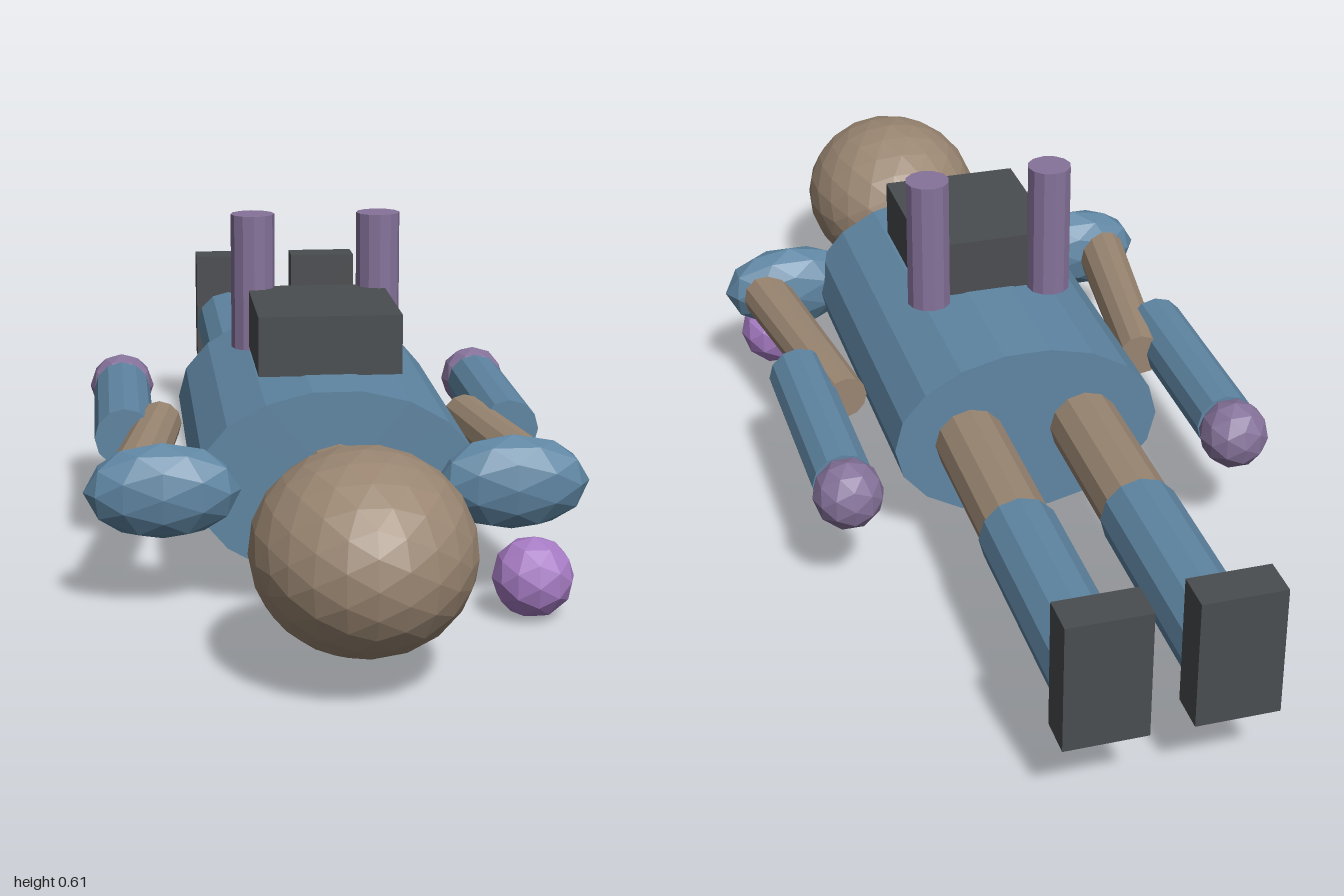
import * as THREE from 'three';

const mat = (color) => new THREE.MeshStandardMaterial({ color, flatShading: true });

export function createModel() {
  const model = new THREE.Group();
  const skin = mat(0x9a8672), suit = mat(0x5f86a3), dark = mat(0x4a4d50);
  const violet = mat(0x85729a), orchid = mat(0xa77cc4);
  const midY = 0.215; // height of the body axis

  function add(name, geometry, material, x, y, z) {
    const mesh = new THREE.Mesh(geometry, material);
    mesh.name = name;
    mesh.position.set(x, y, z);
    model.add(mesh);
    return mesh;
  }
  const box = (name, material, w, h, d, x, y, z) =>
    add(name, new THREE.BoxGeometry(w, h, d), material, x, y, z);
  // Faceted ellipsoid
  const blob = (name, material, rx, ry, rz, x, y, z, detail = 1) =>
    add(name, new THREE.IcosahedronGeometry(1, detail).scale(rx, ry, rz), material, x, y, z);
  // Cylinder lying along z, from z0 (radius r0) to z1 (radius r1)
  const rod = (name, material, r0, r1, z0, z1, x, sides = 12) =>
    add(name, new THREE.CylinderGeometry(r1, r0, z1 - z0, sides).rotateX(Math.PI / 2),
      material, x, midY, (z0 + z1) / 2);

  // Head, neck and oval torso
  blob('head', skin, 0.178, 0.161, 0.203, 0, midY, 0.797, 3);
  rod('neck', skin, 0.077, 0.077, 0.45, 0.582, 0);
  const torso = new THREE.CylinderGeometry(1, 1, 0.663, 18)
    .rotateY(Math.PI / 18).rotateX(Math.PI / 2).scale(0.245, 0.165, 1);
  add('torso', torso, suit, 0, midY, 0.102);

  // Pack above the torso, plate and ball below
  box('pack', dark, 0.25, 0.105, 0.284, 0, 0.428, 0.162);
  box('plate', violet, 0.16, 0.021, 0.14, 0, 0.024, 0.22);
  blob('ball', orchid, 0.07, 0.07, 0.07, 0.319, 0.073, 0.522);

  for (const [side, s] of [['left', 1], ['right', -1]]) {
    // Upright tube behind the pack
    add(side + 'Tube', new THREE.CylinderGeometry(0.04, 0.04, 0.247, 12), violet,
      s * 0.115, 0.492, 0.022);

    // Arm: shoulder pad, slanted upper arm, forearm, hand
    blob(side + 'Shoulder', suit, 0.133, 0.083, 0.063, s * 0.297, midY, 0.437);
    const upperArm = rod(side + 'UpperArm', skin, 0.041, 0.048, -0.22, 0.22, s * 0.32);
    upperArm.position.z = 0.192;
    upperArm.rotation.y = s * 0.145;
    rod(side + 'Forearm', suit, 0.055, 0.055, -0.3, 0.085, s * 0.355);
    blob(side + 'Hand', violet, 0.063, 0.063, 0.063, s * 0.355, midY, -0.337);

    // Leg: thigh, shin, boot
    rod(side + 'Thigh', skin, 0.064, 0.064, -0.55, -0.22, s * 0.107);
    rod(side + 'Shin', suit, 0.07, 0.07, -0.935, -0.533, s * 0.107);
    box(side + 'Boot', dark, 0.141, 0.23, 0.07, s * 0.107, 0.252, -0.965);
  }
  return model;
}
